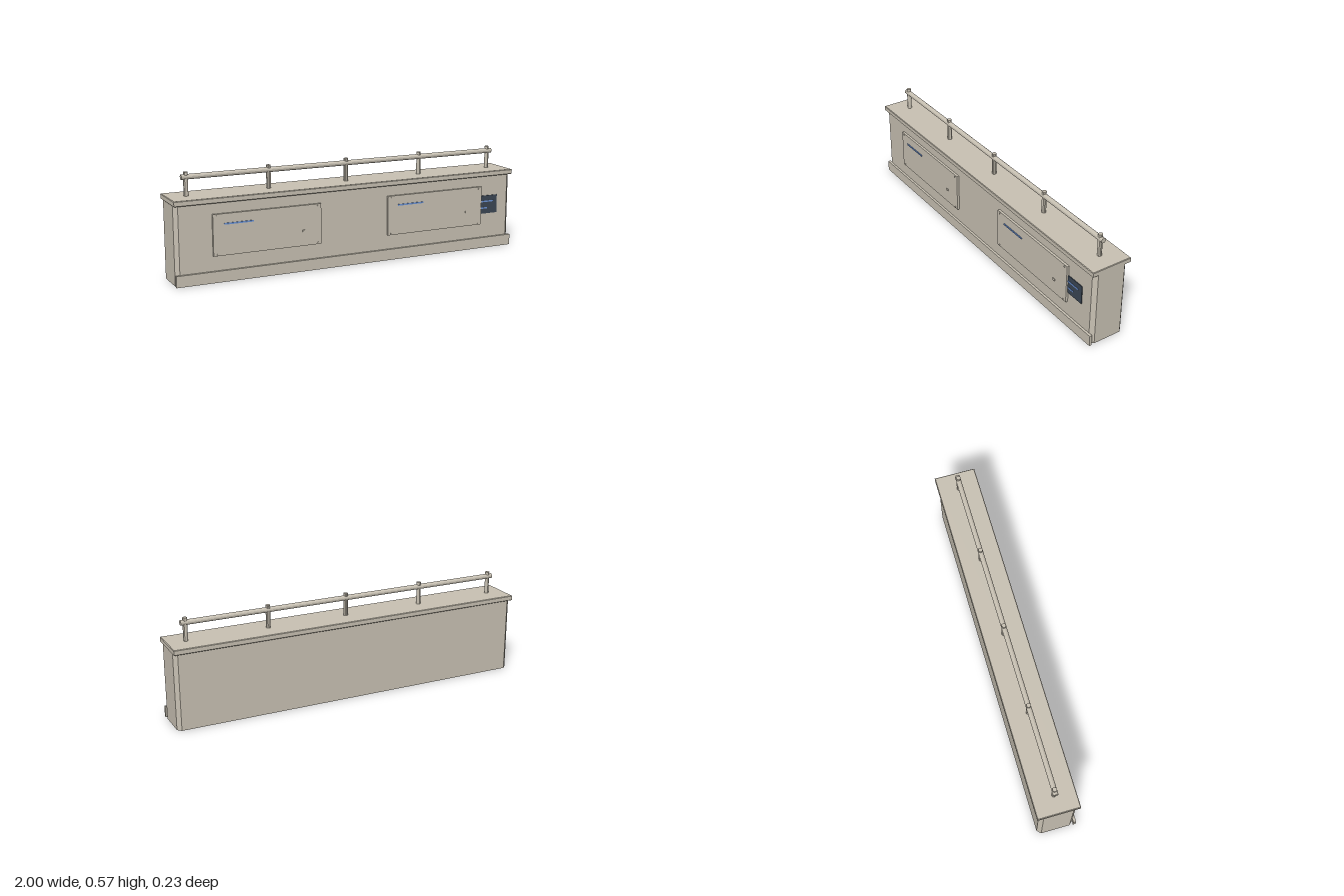
import * as THREE from 'three';

const material = (name, color, flatShading = false) => {
  const m = new THREE.MeshStandardMaterial({ color });
  m.name = name;
  m.flatShading = flatShading;
  return m;
};

export function createModel() {
  const beige = material('beige', 0xc8c1b3, true);
  const blue = material('blue', 0x6b93d6);
  const slate = material('slate', 0x3a4654);
  const model = new THREE.Group();
  model.name = 'counter';

  const add = (name, geometry, mat, x = 0, y = 0, z = 0, parent = model) => {
    const mesh = new THREE.Mesh(geometry, mat);
    mesh.name = name;
    mesh.position.set(x, y, z);
    parent.add(mesh);
    return mesh;
  };
  // Box given by its lower and upper limits
  const box = (name, mat, [x0, x1], [y0, y1], [z0, z1], parent) =>
    add(name, new THREE.BoxGeometry(x1 - x0, y1 - y0, z1 - z0), mat,
      (x0 + x1) / 2, (y0 + y1) / 2, (z0 + z1) / 2, parent);

  // Main body, an upright prism with cut corners
  const w = 0.997, d = 0.1, c = 0.02;
  const outline = new THREE.Shape([
    [-w + c, -d], [w - c, -d], [w, -d + c], [w, d - c],
    [w - c, d], [-w + c, d], [-w, d - c], [-w, -d + c],
  ].map(([x, y]) => new THREE.Vector2(x, y)));
  const bodyGeometry = new THREE.ExtrudeGeometry(outline, { depth: 0.416, bevelEnabled: false });
  bodyGeometry.rotateX(-Math.PI / 2);
  add('body', bodyGeometry, beige);

  // Worktop with a narrow bevel
  const b = 0.003, tw = 1 - b, td = 0.1145 - b;
  const top = new THREE.Shape([
    new THREE.Vector2(-tw, -td), new THREE.Vector2(tw, -td),
    new THREE.Vector2(tw, td), new THREE.Vector2(-tw, td),
  ]);
  const topGeometry = new THREE.ExtrudeGeometry(top, {
    depth: 0.028 - 2 * b, bevelSize: b, bevelThickness: b, bevelSegments: 1,
  });
  topGeometry.rotateX(-Math.PI / 2);
  add('worktop', topGeometry, beige, 0, 0.415 + b, 0);

  // Plinth along the front
  box('plinth', beige, [-1, 1], [0, 0.06], [0.098, 0.113]);

  // Two front panels with corner bolts, a knob and a light strip
  const boltGeometry = new THREE.CylinderGeometry(0.004, 0.004, 0.006, 8);
  boltGeometry.rotateX(Math.PI / 2);
  for (const x of [-0.5, 0.5]) {
    const panel = new THREE.Group();
    panel.name = x < 0 ? 'rightPanel' : 'leftPanel';
    panel.position.x = x;
    model.add(panel);
    box('panelPlate', beige, [-0.3, 0.3], [0.14, 0.358], [0.099, 0.113], panel);
    for (const bx of [-0.28, 0.28])
      for (const by of [0.149, 0.348])
        add('panelBolt', boltGeometry, beige, bx, by, 0.114, panel);
    box('panelKnob', beige, [0.192, 0.208], [0.215, 0.227], [0.112, 0.117], panel);
    box('lightStrip', blue, [-0.24, -0.08], [0.301, 0.309], [0.112, 0.117], panel);
  }

  // Control display beside the left panel
  box('display', slate, [0.79, 0.91], [0.198, 0.302], [0.099, 0.104]);
  box('displayLine', blue, [0.79, 0.883], [0.265, 0.273], [0.103, 0.106]);
  box('displayLine', blue, [0.79, 0.845], [0.227, 0.235], [0.103, 0.106]);

  // Hand rail on five posts
  const railGeometry = new THREE.CylinderGeometry(0.014, 0.014, 1.85, 12);
  railGeometry.rotateZ(Math.PI / 2);
  add('rail', railGeometry, beige, 0, 0.541, 0);
  const postGeometry = new THREE.CylinderGeometry(0.012, 0.012, 0.13, 10);
  for (let i = -2; i <= 2; i++) add('railPost', postGeometry, beige, i * 0.45, 0.502, 0);

  return model;
}
